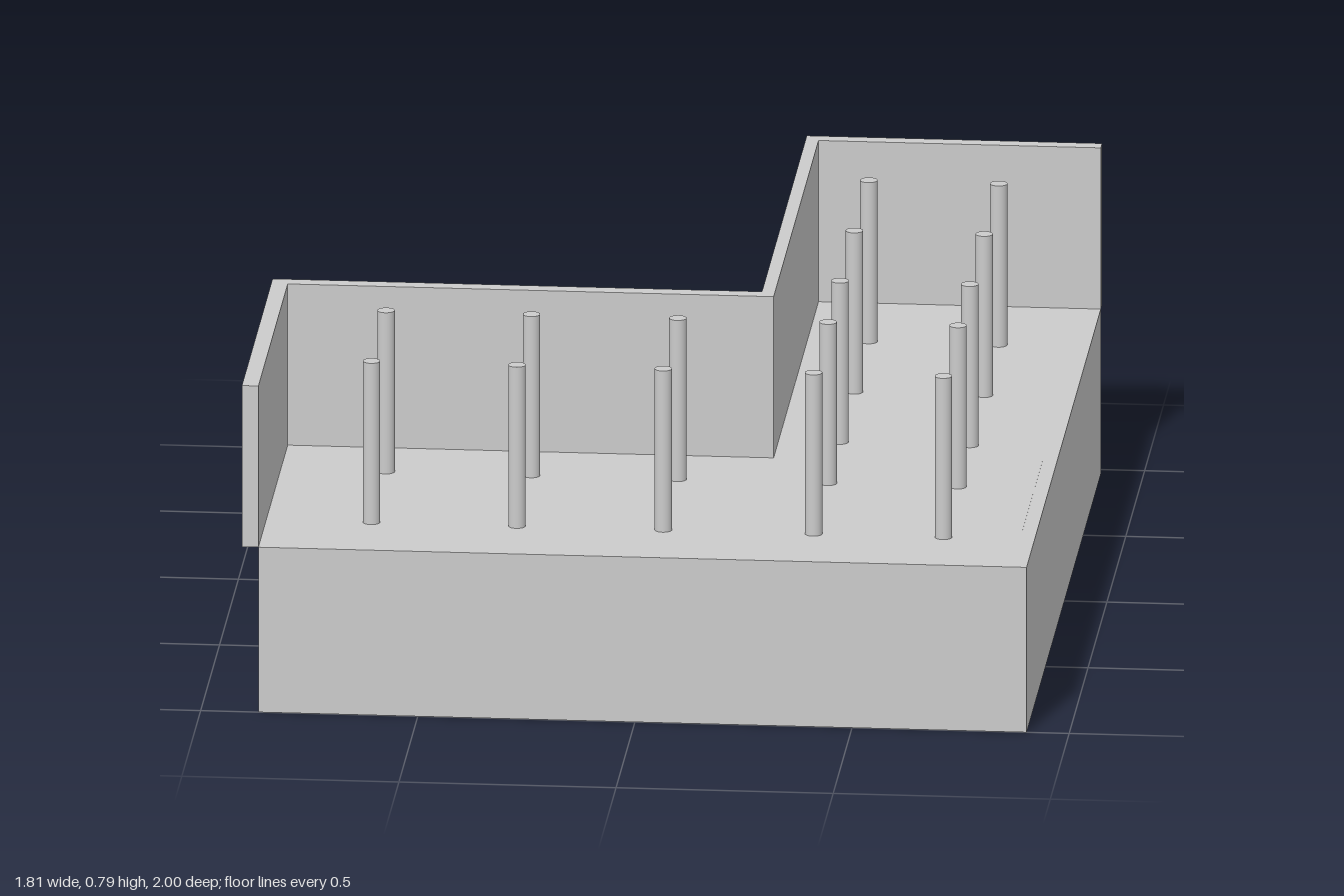
import * as THREE from 'three';

const FLOOR = 0.397, TOP = 0.785;
const OUTER = [[-0.905, 1], [-0.905, 0.187], [0.222, 0.187], [0.222, -1], [0.902, -1]];
const INNER = [[-0.867, 1], [-0.867, 0.223], [0.252, 0.223], [0.252, -0.966], [0.902, -0.966]];

// Plan outline given as [x, z]; y is flipped so the shape can be laid flat
const planShape = (points) => new THREE.Shape(points.map(([x, z]) => new THREE.Vector2(x, -z)));

export function createModel() {
  const model = new THREE.Group();
  const solid = new THREE.MeshStandardMaterial({ color: 0xcccccc });
  const thin = new THREE.MeshStandardMaterial({ color: 0xcccccc, side: THREE.DoubleSide });

  const add = (name, geometry, material, x = 0, y = 0, z = 0) => {
    const mesh = new THREE.Mesh(geometry, material);
    mesh.name = name;
    mesh.position.set(x, y, z);
    model.add(mesh);
    return mesh;
  };

  // L-shaped floor sheet, bounded by the walls
  const floor = new THREE.ShapeGeometry(planShape([...INNER, [0.902, 1]])).rotateX(-Math.PI / 2);
  add('floor', floor, thin, 0, FLOOR, 0);

  // Continuous stepped wall along the back and left sides
  const walls = new THREE.ExtrudeGeometry(planShape([...OUTER, ...[...INNER].reverse()]), {
    depth: TOP - FLOOR, bevelEnabled: false,
  }).rotateX(-Math.PI / 2);
  add('walls', walls, solid, 0, FLOOR, 0);

  // Thin skirts hanging from the two open edges
  add('frontSkirt', new THREE.PlaneGeometry(1.769, FLOOR), thin, 0.0175, FLOOR / 2, 1);
  add('sideSkirt', new THREE.PlaneGeometry(1.966, FLOOR).rotateY(Math.PI / 2), thin, 0.902, FLOOR / 2, 0.017);

  // Fine seam lying on the floor near the side edge
  add('floorSeam', new THREE.BoxGeometry(0.003, 0.001, 0.59), solid, 0.867, FLOOR, 0.485);

  // Columns: two full rows in front, two-column rows in the rear wing
  const columnGeometry = new THREE.CylinderGeometry(0.02, 0.02, TOP - FLOOR, 32);
  const columnXs = [-0.625, -0.29, 0.047, 0.393, 0.692];
  for (const z of [0.787, 0.402, 0.088, -0.294, -0.677]) {
    for (const x of z > 0.3 ? columnXs : columnXs.slice(3)) {
      add('column', columnGeometry, solid, x, (FLOOR + TOP) / 2, z);
    }
  }
  return model;
}
